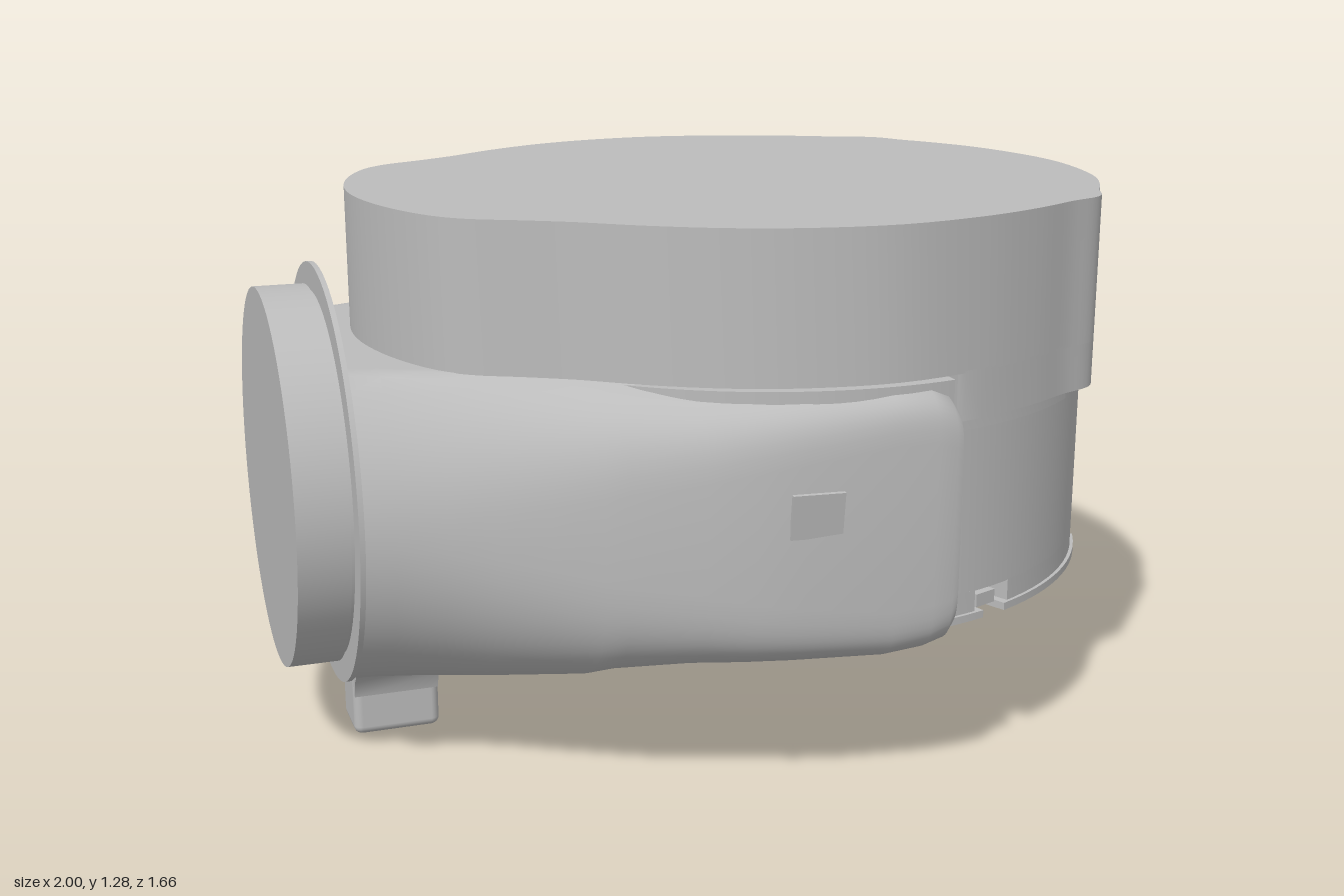
import * as THREE from 'three';
import { toCreasedNormals, mergeVertices } from 'three/addons/utils/BufferGeometryUtils.js';
import { RoundedBoxGeometry } from 'three/addons/geometries/RoundedBoxGeometry.js';

const CX = 0.2; // centre of the round housing

export function createModel() {
  const model = new THREE.Group();
  const grey = new THREE.MeshStandardMaterial({ color: 0xbcbcbc, side: THREE.DoubleSide });
  grey.name = 'housingGrey';

  const add = (name, geo, parent = model) => {
    const mesh = new THREE.Mesh(geo, grey);
    mesh.name = name;
    parent.add(mesh);
    return mesh;
  };

  // Upright slab from a plan outline, with an optional rounded edge
  const slab = (name, pts, y0, y1, bevel = 0) => {
    const geo = new THREE.ExtrudeGeometry(new THREE.Shape(pts), {
      depth: y1 - y0 - 2 * bevel, bevelEnabled: bevel > 0, bevelSize: bevel,
      bevelThickness: bevel, bevelOffset: -bevel, bevelSegments: 3,
    });
    geo.rotateX(-Math.PI / 2).translate(0, y0 + bevel, 0);
    return add(name, toCreasedNormals(geo, 0.6));
  };

  // Round outline with rectangular notches at the given angles (degrees)
  const notchedCircle = (r, angles, halfWidth, depth) => {
    const pts = [];
    const polar = (rad, a) => pts.push(new THREE.Vector2(CX + rad * Math.cos(a), rad * Math.sin(a)));
    const centres = angles.map((d) => THREE.MathUtils.degToRad(d));
    const half = halfWidth / r;
    for (let i = 0; i < 120; i++) {
      const a = -Math.PI + (i / 120) * Math.PI * 2;
      const next = a + Math.PI / 60;
      if (!centres.some((c) => Math.abs(a - c) <= half)) polar(r, a);
      for (const c of centres) {
        if (c - half > a && c - half <= next) {
          polar(r, c - half);
          polar(r - depth, c - half);
          polar(r - depth, c + half);
          polar(r, c + half);
        }
      }
    }
    return pts;
  };

  // Upper housing: lobed plan, mirrored about z = 0
  const halfPlan = [
    [1, 0], [0.985, 0.15], [0.94, 0.32], [0.88, 0.44], [0.83, 0.52], [0.8, 0.58], [0.77, 0.61],
    [0.69, 0.645], [0.58, 0.705], [0.42, 0.77], [0.2, 0.815], [0, 0.795], [-0.15, 0.745],
    [-0.3, 0.66], [-0.42, 0.57], [-0.52, 0.51], [-0.62, 0.455], [-0.68, 0.39], [-0.74, 0.26],
    [-0.775, 0.12], [-0.785, 0],
  ];
  const mirrored = halfPlan.slice(1, -1).reverse().map(([x, z]) => [x, -z]);
  const loop = [...halfPlan, ...mirrored].map(([x, z]) => new THREE.Vector3(x, z, 0));
  const plan = new THREE.CatmullRomCurve3(loop, true).getPoints(160).slice(0, -1)
    .map((p) => new THREE.Vector2(p.x, p.y));
  slab('upperHousing', plan, 0.955, 1.285);

  // Skirt of the upper housing, only ahead of the arms
  const firstBehind = plan.findIndex((p) => p.x < 0.35);
  const lastBehind = plan.length - [...plan].reverse().findIndex((p) => p.x < 0.35);
  const front = [...plan.slice(lastBehind), ...plan.slice(0, firstBehind)];
  slab('upperSkirt', [new THREE.Vector2(0.35, front[0].y), ...front,
    new THREE.Vector2(0.35, front[front.length - 1].y)], 0.85, 0.96);
  slab('skirtEdge', notchedCircle(0.798, [-46, 0, 46], 0.045, 0.03), 0.828, 0.852);

  // Lower housing with a notched bottom rim
  const rimNotches = [-69, -23.5, 23.5, 69];
  slab('lowerHousing', notchedCircle(0.788, [], 0, 0), 0.45, 0.94);
  slab('lowerRim', notchedCircle(0.788, rimNotches, 0.055, 0.06), 0.4, 0.452);
  slab('rimFlange', notchedCircle(0.796, rimNotches, 0.035, 0.06), 0.385, 0.402);
  for (const d of rimNotches) {
    const clip = add('rimClip', new THREE.BoxGeometry(0.04, 0.03, 0.06));
    const a = THREE.MathUtils.degToRad(d);
    clip.position.set(CX + 0.75 * Math.cos(a), 0.415, -0.75 * Math.sin(a));
    clip.rotation.y = a;
  }

  // Base disc with a socket cut into its +x side
  const base = [];
  for (let i = 0; i <= 72; i++) {
    const a = 0.31 + (i / 72) * (Math.PI * 2 - 0.62);
    base.push(new THREE.Vector2(0.18 + 0.5 * Math.cos(a), 0.49 * Math.sin(a)));
  }
  base.push(new THREE.Vector2(0.56, -0.13), new THREE.Vector2(0.56, 0.13));
  slab('baseDisc', base, 0.25, 0.4, 0.015);
  add('socketBar', new RoundedBoxGeometry(0.05, 0.025, 0.3, 2, 0.01)).position.set(0.665, 0.265, 0);
  for (const s of [-1, 1]) {
    const rib = add('socketRib', new THREE.BoxGeometry(0.12, 0.13, 0.015));
    rib.position.set(0.62, 0.325, s * 0.085);
    rib.rotation.y = s * 0.4;
  }

  // Yoke: half sections lofted along x, from a round neck to a flat arm
  // [x, half width, rise, bottom, squareness, inner z]
  const stations = [
    [-0.87, 0.48, 0.48, 0.16, 2, 0], [-0.8, 0.505, 0.47, 0.162, 2.05, 0],
    [-0.7, 0.55, 0.45, 0.168, 2.2, 0], [-0.6, 0.6, 0.42, 0.18, 2.5, 0],
    [-0.5, 0.648, 0.39, 0.2, 2.9, 0], [-0.4, 0.692, 0.36, 0.225, 3.5, 0],
    [-0.35, 0.712, 0.35, 0.25, 3.9, 0.2], [-0.2, 0.765, 0.325, 0.285, 5, 0.42],
    [-0.1, 0.793, 0.32, 0.297, 6, 0.48], [0, 0.812, 0.317, 0.305, 7, 0.52],
    [0.2, 0.828, 0.316, 0.311, 9, 0.58], [0.29, 0.83, 0.314, 0.32, 9, 0.6],
    [0.335, 0.83, 0.29, 0.335, 9, 0.61], [0.35, 0.826, 0.27, 0.36, 9, 0.61],
  ];
  const N = 40;
  const section = ([, w, rise, bottom, n, inner]) => {
    const pts = [];
    for (let j = 0; j <= N; j++) {
      const a = Math.PI / 2 - (j / N) * Math.PI;
      const c = Math.max(0, Math.cos(a)) ** (2 / n);
      const s = Math.sign(Math.sin(a)) * Math.abs(Math.sin(a)) ** (2 / n);
      const y = 0.64 + s * (s > 0 ? rise : 0.64 - bottom);
      pts.push([Math.max(inner, w * c), Math.min(y, 0.956)]);
    }
    pts.push(pts[0]);
    return pts;
  };
  const pos = [];
  const index = [];
  const row = N + 2;
  stations.forEach((st, i) => {
    for (const [z, y] of section(st)) pos.push(st[0], y, z);
    if (i === 0) return;
    for (let j = 0; j < row - 1; j++) {
      const a = (i - 1) * row + j, b = a + row;
      index.push(a, a + 1, b, b, a + 1, b + 1);
    }
  });
  // Close the free end of the arm with a fan
  const end = (stations.length - 1) * row;
  const hub = pos.length / 3;
  pos.push(0.35, 0.64, 0.7);
  for (let j = 0; j < row - 1; j++) index.push(hub, end + j, end + j + 1);
  let armGeo = new THREE.BufferGeometry();
  armGeo.setAttribute('position', new THREE.Float32BufferAttribute(pos, 3));
  armGeo.setIndex(index);
  armGeo = toCreasedNormals(mergeVertices(armGeo), 0.6);

  for (const side of [1, -1]) {
    const arm = new THREE.Group();
    arm.name = side > 0 ? 'frontArm' : 'backArm';
    arm.scale.z = side;
    model.add(arm);
    add('armShell', armGeo, arm);
    // Small slanted catch on the arm face
    const latch = add('armCatch', new THREE.BoxGeometry(0.115, 0.1, 0.009), arm);
    latch.position.set(0.022, 0.685, 0.815);
    latch.rotation.set(0.12, -0.07, 0);
  }

  // Side port: thin flange, collar and closed cap
  const disc = (name, r, x0, x1) => {
    const geo = new THREE.CylinderGeometry(r, r, x1 - x0, 72).rotateZ(Math.PI / 2);
    add(name, geo).position.set((x0 + x1) / 2, 0.64, 0);
  };
  disc('portFlange', 0.488, -0.876, -0.864);
  disc('portCollar', 0.425, -0.89, -0.87);
  disc('portCap', 0.438, -1, -0.885);

  // Foot below the neck, flared where it meets the body
  add('foot', new RoundedBoxGeometry(0.205, 0.26, 0.15, 3, 0.02)).position.set(-0.737, 0.13, 0);
  const flare = [[0.075, 0.1], [0.085, 0.14], [0.12, 0.175], [0.2, 0.215], [0.29, 0.255]];
  const flareShape = new THREE.Shape([
    ...flare.map(([z, y]) => new THREE.Vector2(z, y)),
    ...flare.map(([z, y]) => new THREE.Vector2(-z, y)).reverse(),
  ]);
  const flareGeo = new THREE.ExtrudeGeometry(flareShape, { depth: 0.2, bevelEnabled: false });
  flareGeo.rotateY(Math.PI / 2).translate(-0.837, 0, 0);
  add('footFlare', toCreasedNormals(flareGeo, 0.6));

  return model;
}
